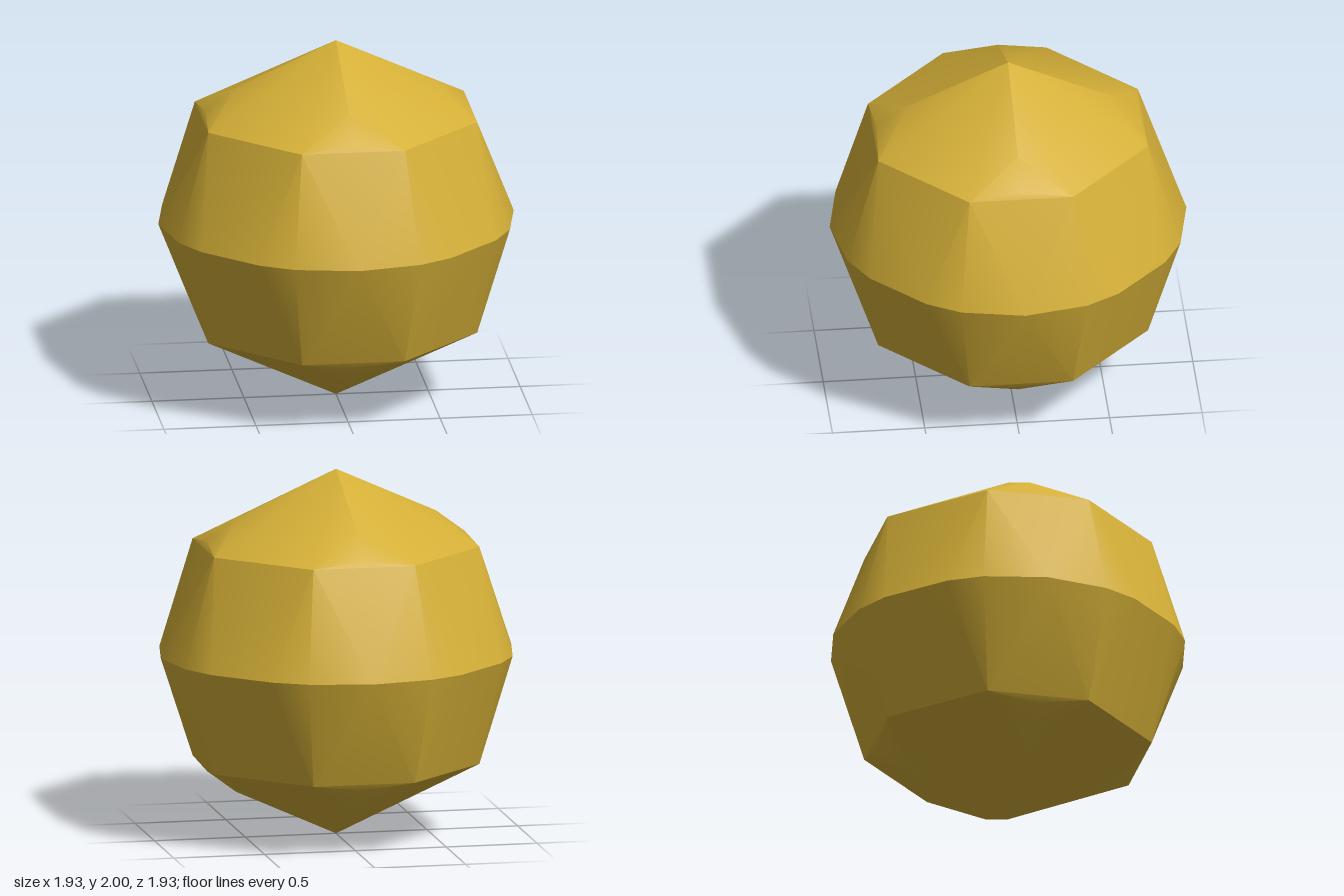
import * as THREE from 'three';
import { ConvexGeometry } from 'three/addons/geometries/ConvexGeometry.js';
import { toCreasedNormals } from 'three/addons/utils/BufferGeometryUtils.js';

// Corner points of one octant, as [x, y, z] from the centre of the stone
const corners = [
  [0, 1, 0],                                        // pole
  [0.55, 0.75, 0], [0, 0.75, 0.55],                 // cap
  [0.71, 0.63, 0], [0, 0.63, 0.71],                 // shoulder
  [0.73, 0.595, 0.28], [0.28, 0.595, 0.73],
  [0.965, 0, 0], [0.9, 0, 0.34], [0.8, 0, 0.52],    // girdle
  [0.52, 0, 0.8], [0.34, 0, 0.9], [0, 0, 0.965],
];

// Mirror each corner into all eight octants, without repeats
function mirroredPoints() {
  const points = new Map();
  for (const [x, y, z] of corners)
    for (const sx of [1, -1])
      for (const sy of [1, -1])
        for (const sz of [1, -1]) {
          const p = new THREE.Vector3(x * sx + 0, 1 + y * sy, z * sz + 0);
          points.set(p.toArray().map((v) => v.toFixed(3)).join().replaceAll('-0.000', '0.000'), p);
        }
  return [...points.values()];
}

export function createModel() {
  const group = new THREE.Group();
  group.name = 'facetedBall';
  const gold = new THREE.MeshStandardMaterial({ color: 0xd4af37 });
  gold.name = 'gold';

  // Faceted body: soft within each face, sharp along girdle and shoulders
  const geometry = toCreasedNormals(new ConvexGeometry(mirroredPoints()), THREE.MathUtils.degToRad(26));
  const body = new THREE.Mesh(geometry, gold);
  body.name = 'facetedBody';
  group.add(body);
  return group;
}
